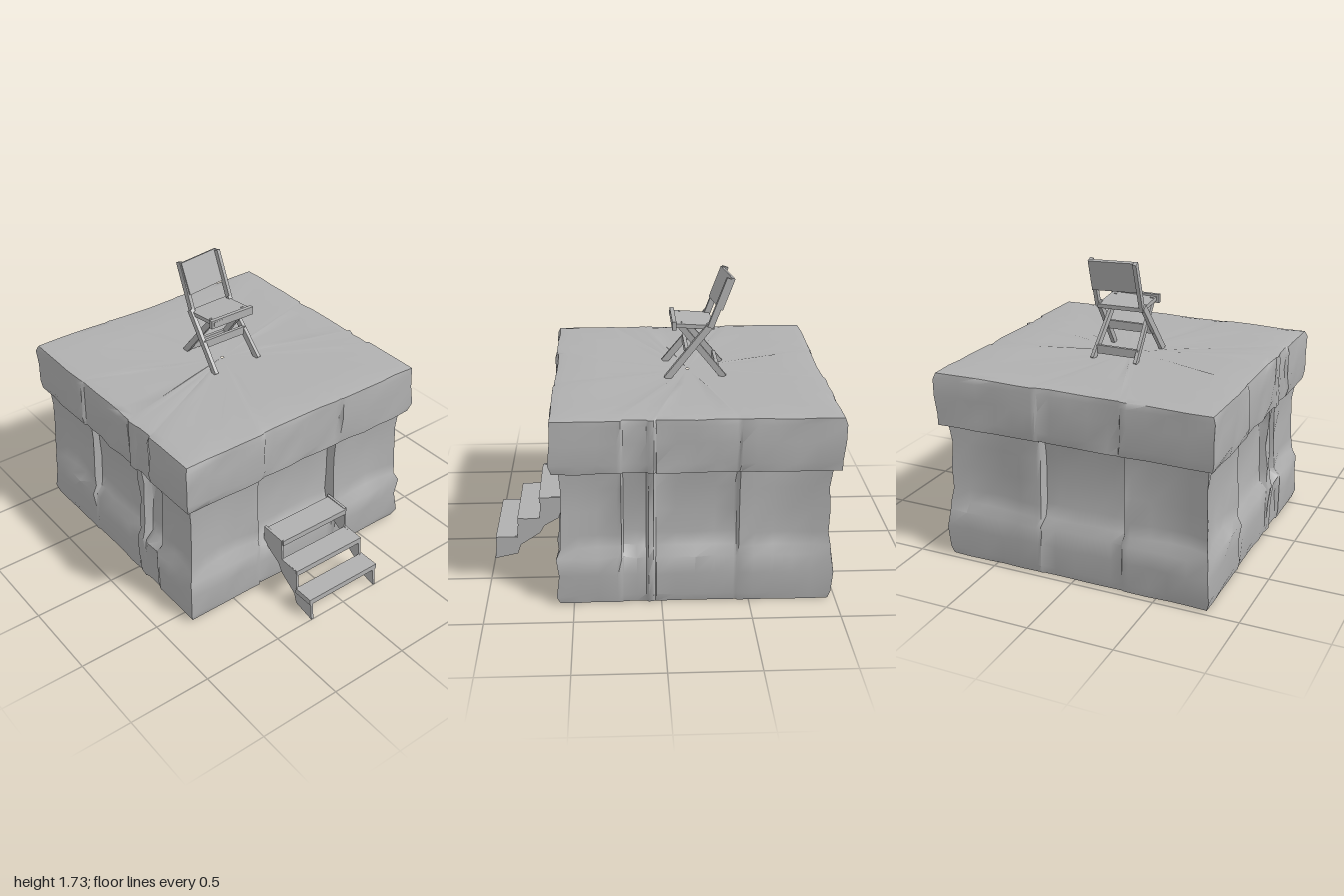
import * as THREE from 'three';
import { toCreasedNormals } from 'three/addons/utils/BufferGeometryUtils.js';

const grey = new THREE.MeshStandardMaterial({ color: 0xb0b0b0 });
grey.name = 'plain grey';

const V = (x, y, z) => new THREE.Vector3(x, y, z);

function add(parent, name, geometry) {
  const mesh = new THREE.Mesh(geometry, grey);
  mesh.name = name;
  parent.add(mesh);
  return mesh;
}

// Box-section bar between two points
function bar(parent, name, a, b, width, depth) {
  const mesh = add(parent, name, new THREE.BoxGeometry(width, depth, a.distanceTo(b)));
  mesh.position.copy(a).lerp(b, 0.5);
  mesh.lookAt(b);
  return mesh;
}

// Repeatable value in -1..1 for the uneven surface
function wobble(i, j) {
  const s = Math.sin(i * 127.1 + j * 311.7) * 43758.5453;
  return (s - Math.floor(s)) * 2 - 1;
}

const HX = 0.8, HZ = 0.77, CZ = -0.19;

// Four sides, counterclockwise from above: corner, direction, length, outward normal,
// and recess bands [from, to, depth] measured along the side
const sides = [
  { name: 'front', start: [-HX, HZ], dir: [1, 0], len: 2 * HX, out: [0, 1], bands: [[0.5, 1.07, 0.06]] },
  { name: 'right', start: [HX, HZ], dir: [0, -1], len: 2 * HZ, out: [1, 0], bands: [[0.36, 0.5, 0.06], [0.54, 1.01, 0.045]] },
  { name: 'back', start: [HX, -HZ], dir: [-1, 0], len: 2 * HX, out: [0, -1], bands: [[0.6, 1.1, 0.05]] },
  { name: 'left', start: [-HX, -HZ], dir: [0, 1], len: 2 * HZ, out: [-1, 0], bands: [[0.5, 1.0, 0.045], [1.06, 1.2, 0.05]] },
];

// Outline shared by every level
const outline = [];
for (const side of sides) {
  const stops = [];
  for (let k = 0; k < 14; k++) stops.push(side.len * k / 14);
  for (const [from, to] of side.bands) stops.push(from - 0.006, from + 0.006, to - 0.006, to + 0.006);
  stops.sort((a, b) => a - b);
  for (const t of stops) {
    const u = Math.abs(2 * t / side.len - 1);
    const band = side.bands.find(([from, to]) => t > from && t < to);
    outline.push({
      x: side.start[0] + side.dir[0] * t,
      z: side.start[1] + side.dir[1] * t,
      out: side.out,
      corner: t < 1e-6,
      recess: band ? band[2] : 0,
      // shallow hollow between each corner and the middle panel
      hollow: 0.03 * Math.sin(Math.PI * Math.min(1, (1 - u) / 0.65)),
    });
  }
}

// Levels from bottom centre to top centre: [y, outward offset, scale, recess share, roughness]
const levels = [
  [0.004, 0, 0.01, 0, 0], [0.004, 0, 0.5, 0, 0.002], [0.002, -0.01, 0.96, 0.1, 0.002],
  [0.002, 0, 1, 0.15, 0.004], [0.05, 0.012, 1, 0.2, 0.008], [0.18, 0.01, 1, 0.25, 0.01],
  [0.29, 0.012, 1, 0.2, 0.01], [0.34, -0.004, 1, 0.8, 0.008],
  [0.42, -0.01, 1, 1, 0.008], [0.56, -0.016, 1, 1, 0.008], [0.7, -0.014, 1, 1, 0.008], [0.815, -0.006, 1, 0.9, 0.006],
  [0.825, 0.03, 1, 0.12, 0.008], [0.88, 0.04, 1, 0.2, 0.01], [1.0, 0.034, 1, 0.25, 0.008],
  [1.1, 0.036, 1, 0.2, 0.007], [1.135, 0.028, 1, 0.15, 0.006],
  [1.142, 0.01, 0.96, 0.1, 0.004], [1.138, 0, 0.7, 0, 0.005], [1.136, 0, 0.35, 0, 0.005], [1.13, 0, 0.01, 0, 0],
];

function buildingGeometry() {
  const pos = [], index = [], n = outline.length;
  levels.forEach(([y, offset, scale, share, rough], i) => {
    outline.forEach((p, j) => {
      const wall = share > 0.7 ? 1 : 0.15;
      const push = offset - p.recess * share - p.hollow * wall * Math.min(1, share * 2) + rough * wobble(i, j);
      // corners move out along both sides
      const ox = p.corner ? Math.sign(p.x) : p.out[0];
      const oz = p.corner ? Math.sign(p.z) : p.out[1];
      const lift = (y > 0.1 && scale > 0.3) ? rough * 0.4 * wobble(j, i + 7) : 0;
      pos.push((p.x + ox * push) * scale, y + lift, (p.z + oz * push) * scale + CZ);
    });
  });
  for (let i = 0; i < levels.length - 1; i++) {
    for (let j = 0; j < n; j++) {
      const a = i * n + j, b = i * n + (j + 1) % n;
      index.push(a, b, b + n, a, b + n, a + n);
    }
  }
  const g = new THREE.BufferGeometry();
  g.setAttribute('position', new THREE.Float32BufferAttribute(pos, 3));
  g.setIndex(index);
  return toCreasedNormals(g, 0.95);
}

function createSteps() {
  const steps = new THREE.Group();
  steps.name = 'frontSteps';
  // Stepped side plates, drawn as (z, y)
  const profile = [[0.55, 0.41], [0.71, 0.405], [0.72, 0.27], [0.85, 0.265], [0.86, 0.15], [0.985, 0.14],
    [1.0, 0.0], [0.86, 0.03], [0.84, 0.09], [0.72, 0.17], [0.69, 0.22], [0.55, 0.3]];
  const shape = new THREE.Shape(profile.map(([z, y]) => new THREE.Vector2(-z, y)));
  for (const s of [-1, 1]) {
    const g = new THREE.ExtrudeGeometry(shape, { depth: 0.016, bevelEnabled: false });
    g.rotateY(Math.PI / 2);
    const side = add(steps, s < 0 ? 'rightStringer' : 'leftStringer', g);
    side.position.x = 0.005 + s * 0.245 - 0.008;
  }
  // Open treads
  [[0.64, 0.385, 0.16, 0.245], [0.785, 0.25, 0.14, 0.25], [0.925, 0.13, 0.13, 0.26]].forEach(([z, y, d, hw], i) => {
    const tread = add(steps, 'tread' + (3 - i), new THREE.BoxGeometry(hw * 2, 0.036, d));
    tread.position.set(0.005, y, z);
  });
  return steps;
}

function createChair() {
  const chair = new THREE.Group();
  chair.name = 'foldingChair';
  chair.position.x = 0.005;
  for (const s of [-1, 1]) {
    const label = s < 0 ? 'right' : 'left';
    // Long rails rise from the front feet into the backrest
    bar(chair, label + 'FrontLeg', V(s * 0.158, 1.13, -0.055), V(s * 0.138, 1.45, -0.315), 0.022, 0.04);
    bar(chair, label + 'BackPost', V(s * 0.138, 1.435, -0.31), V(s * 0.136, 1.725, -0.42), 0.022, 0.036);
    bar(chair, label + 'RearLeg', V(s * 0.135, 1.13, -0.395), V(s * 0.115, 1.45, -0.13), 0.02, 0.036);
  }
  bar(chair, 'seat', V(0, 1.45, -0.09), V(0, 1.432, -0.33), 0.28, 0.024);
  bar(chair, 'seatFrontLip', V(-0.152, 1.448, -0.1), V(0.152, 1.448, -0.1), 0.024, 0.05);
  bar(chair, 'backrest', V(0, 1.54, -0.352), V(0, 1.725, -0.422), 0.285, 0.02);
  bar(chair, 'frontRung', V(-0.15, 1.28, -0.175), V(0.15, 1.28, -0.175), 0.02, 0.05);
  bar(chair, 'rearRung', V(-0.13, 1.18, -0.355), V(0.13, 1.18, -0.355), 0.02, 0.05);
  return chair;
}

export function createModel() {
  const model = new THREE.Group();
  model.name = 'buildingWithChair';
  add(model, 'building', buildingGeometry());
  model.add(createSteps(), createChair());
  return model;
}
